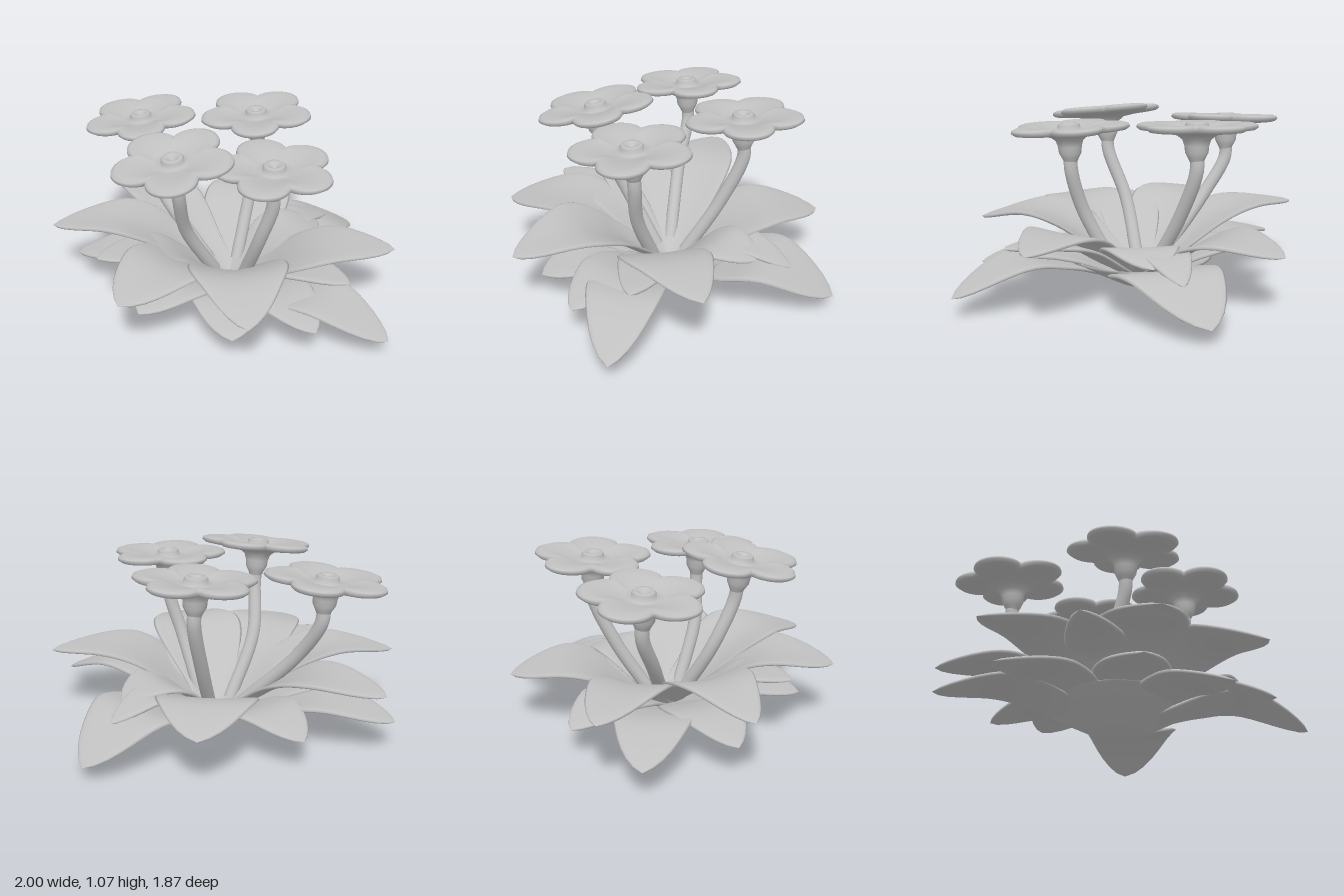
import * as THREE from 'three';

const mix = THREE.MathUtils.lerp;
const CENTRE = new THREE.Vector3(0.07, 0, -0.07);

// Skin a series of closed rings (arrays of [x, y, z]) with smooth normals
function loft(rings) {
  const n = rings[0].length, index = [];
  for (let i = 0; i < rings.length - 1; i++) {
    for (let j = 0; j < n; j++) {
      const a = i * n + j, b = i * n + (j + 1) % n, d = a + n, c = b + n;
      index.push(a, d, b, b, d, c);
    }
  }
  const geo = new THREE.BufferGeometry();
  geo.setAttribute('position', new THREE.Float32BufferAttribute(rings.flat(2), 3));
  geo.setIndex(index);
  geo.computeVertexNormals();
  return geo;
}

// Leaf: a thick pointed blade that climbs from the crown, arches and droops to its tip.
// A higher bluntness keeps the blade wide for longer; bend bows its midline sideways
function leafGeometry(tip, width, rise, cup, bluntness, bend = 0) {
  const spine = new THREE.SplineCurve([
    new THREE.Vector2(0, 0.035), new THREE.Vector2(0.22, mix(0.035, rise, 0.4)),
    new THREE.Vector2(0.45, mix(0.035, rise, 0.82)), new THREE.Vector2(0.68, rise),
    new THREE.Vector2(1, tip[1]),
  ]);
  const dx = tip[0] - CENTRE.x, dz = tip[2] - CENTRE.z, len = Math.hypot(dx, dz);
  const sx = -dz / len, sz = dx / len;
  const rows = 24, cols = 20, rings = [];
  for (let i = 0; i <= rows; i++) {
    const t = i / rows, p = spine.getPoint(t);
    const u = Math.max(0, (t - 0.58) / 0.42);
    const grow = THREE.MathUtils.smoothstep(t, 0, 0.55);
    const full = t < 0.58 ? mix(0.42, 1, grow) : 1 - Math.pow(u, bluntness);
    const w = width / 2 * full;
    const thick = 0.017 * Math.sqrt(Math.max(0, 1 - Math.pow(t, 12)));
    const ring = [];
    for (let j = 0; j < cols; j++) {
      const f = j / cols * Math.PI * 2, s = Math.cos(f), h = Math.sin(f);
      const y = p.y + thick * Math.sign(h) * Math.sqrt(Math.abs(h))
        + cup * Math.pow(Math.abs(s), 1.6) * (1 - t) * full;
      const side = s * w + bend * Math.sin(Math.PI * t);
      ring.push([CENTRE.x + dx * p.x + sx * side, y, CENTRE.z + dz * p.x + sz * side]);
    }
    rings.push(ring);
  }
  return loft(rings);
}

// Flower head: calyx, funnel, five round lobes and a hollow centre button.
// Each profile point is [radius, height, how far it follows the lobed outline]
const HEAD = [
  [0.036, -0.17, 0], [0.048, -0.145, 0], [0.064, -0.115, 0], [0.067, -0.08, 0],
  [0.078, -0.045, 0], [0.11, -0.02, 0.1], [0.18, -0.008, 0.4], [0.28, 0, 0.9],
  [0.325, 0.006, 1], [0.345, 0.02, 1], [0.34, 0.036, 1], [0.315, 0.045, 1],
  [0.25, 0.042, 0.9], [0.18, 0.03, 0.5], [0.11, 0.014, 0.1], [0.068, 0.008, 0],
  [0.064, 0.04, 0], [0.054, 0.052, 0], [0.035, 0.05, 0], [0.022, 0.035, 0], [0, 0.02, 0],
];
function flowerGeometry(turn) {
  const cols = 100, d = 0.2, rho = 0.142, step = Math.PI * 2 / 5;
  return loft(HEAD.map(([r, y, follow]) => {
    const ring = [];
    for (let j = 0; j < cols; j++) {
      const a = j / cols * Math.PI * 2;
      const f = (j % (cols / 5)) / (cols / 5) * step - step / 2;
      const lobe = d * Math.cos(f) + Math.sqrt(rho * rho - (d * Math.sin(f)) ** 2);
      const rad = r * mix(1, lobe / (d + rho), follow), ang = a + turn - step / 2;
      ring.push([Math.cos(ang) * rad, y, Math.sin(ang) * rad]);
    }
    return ring;
  }));
}

export function createModel() {
  const model = new THREE.Group();
  model.name = 'floweringPlant';
  const clay = new THREE.MeshStandardMaterial({ color: 0xc0c0c0 });
  clay.name = 'plain grey';
  const add = (parent, name, geo) => {
    const mesh = new THREE.Mesh(geo, clay);
    mesh.name = name;
    parent.add(mesh);
    return mesh;
  };

  // Crown: the shallow bowl into which all leaf bases merge
  const crown = [[0, 0], [0.05, 0.005], [0.12, 0.032], [0.22, 0.084], [0.32, 0.138],
    [0.43, 0.2], [0.42, 0.212], [0.3, 0.155], [0.15, 0.08], [0, 0.05]];
  add(model, 'crown', new THREE.LatheGeometry(crown.map(p => new THREE.Vector2(...p)), 40))
    .position.copy(CENTRE);

  // Leaves: tip position, width, arch height, cupping of the edges, bluntness, sideways bend
  const whorls = {
    upperLeaf: [
      [[-1, 0.4, -0.2], 0.47, 0.45, 0.1, 1.9], [[-0.63, 0.42, -0.9], 0.44, 0.44, 0.08, 2.4],
      [[0.4, 0.32, -0.94], 0.56, 0.37, 0.05, 2.3], [[1, 0.41, 0.3], 0.5, 0.43, 0.04, 2, 0.12],
      [[0.06, 0.37, 0.93], 0.56, 0.43, 0.14, 2], [[-0.6, 0.38, 0.67], 0.54, 0.43, 0.1, 2.6],
    ],
    middleLeaf: [
      [[0.68, 0.35, 0.54], 0.34, 0.33, 0.05, 2.2], [[0.76, 0.24, -0.46], 0.3, 0.31, 0.05, 2.2],
      [[0.67, 0.29, -0.28], 0.44, 0.33, 0.05, 2.4, 0.04], [[-0.72, 0.42, 0.25], 0.38, 0.4, 0.05, 2.2],
    ],
    lowerLeaf: [
      [[0.94, 0.09, -0.63], 0.58, 0.25, 0.04, 2.5, 0.06], [[0.86, 0.11, 0.77], 0.44, 0.24, 0.04, 2.6, 0.07],
      [[0.45, 0.2, 0.77], 0.42, 0.25, 0.04, 2.4], [[0.0, 0.16, 0.74], 0.48, 0.21, 0.05, 2.4],
      [[-0.86, 0.2, -0.2], 0.44, 0.25, 0.04, 2.2], [[-0.78, 0.18, -0.73], 0.44, 0.25, 0.04, 2.6],
      [[-0.2, 0.19, -0.84], 0.42, 0.25, 0.04, 2.4], [[-0.5, 0.2, 0.5], 0.44, 0.24, 0.04, 2.4],
    ],
  };
  for (const [name, leaves] of Object.entries(whorls)) {
    const whorl = new THREE.Group();
    whorl.name = name + 'Whorl';
    leaves.forEach(spec => add(whorl, name, leafGeometry(...spec)));
    model.add(whorl);
  }

  // Flowers: head position, tilt as slope along x and z, turn, stem bend points
  const flowers = [
    [[-0.43, 0.94, -0.505], [0.1, 0], 90, [[-0.04, 0.12, -0.15], [-0.32, 0.5, -0.39]]],
    [[0.278, 0.965, -0.435], [0.06, -0.02], 100, [[0.13, 0.12, -0.15], [0.225, 0.45, -0.33]]],
    [[-0.27, 0.98, 0.225], [0.12, -0.11], 95, [[-0.02, 0.12, -0.04], [-0.2, 0.48, 0.08]]],
    [[0.275, 0.937, 0.29], [0.01, -0.05], 114, [[0.14, 0.12, 0.06], [0.215, 0.48, 0.23]]],
  ];
  for (const [pos, slope, turn, bends] of flowers) {
    const flower = new THREE.Group();
    flower.name = 'flower';
    const top = new THREE.Vector3(...pos);
    const up = new THREE.Vector3(-slope[0], 1, -slope[1]).normalize();
    const head = add(flower, 'flowerHead', flowerGeometry(THREE.MathUtils.degToRad(turn)));
    head.position.copy(top);
    head.quaternion.setFromUnitVectors(new THREE.Vector3(0, 1, 0), up);
    const path = new THREE.CatmullRomCurve3([
      ...bends.map(p => new THREE.Vector3(...p)),
      top.clone().addScaledVector(up, -0.22), top.clone().addScaledVector(up, -0.12),
    ]);
    add(flower, 'stem', new THREE.TubeGeometry(path, 32, 0.039, 14));
    model.add(flower);
  }
  return model;
}
